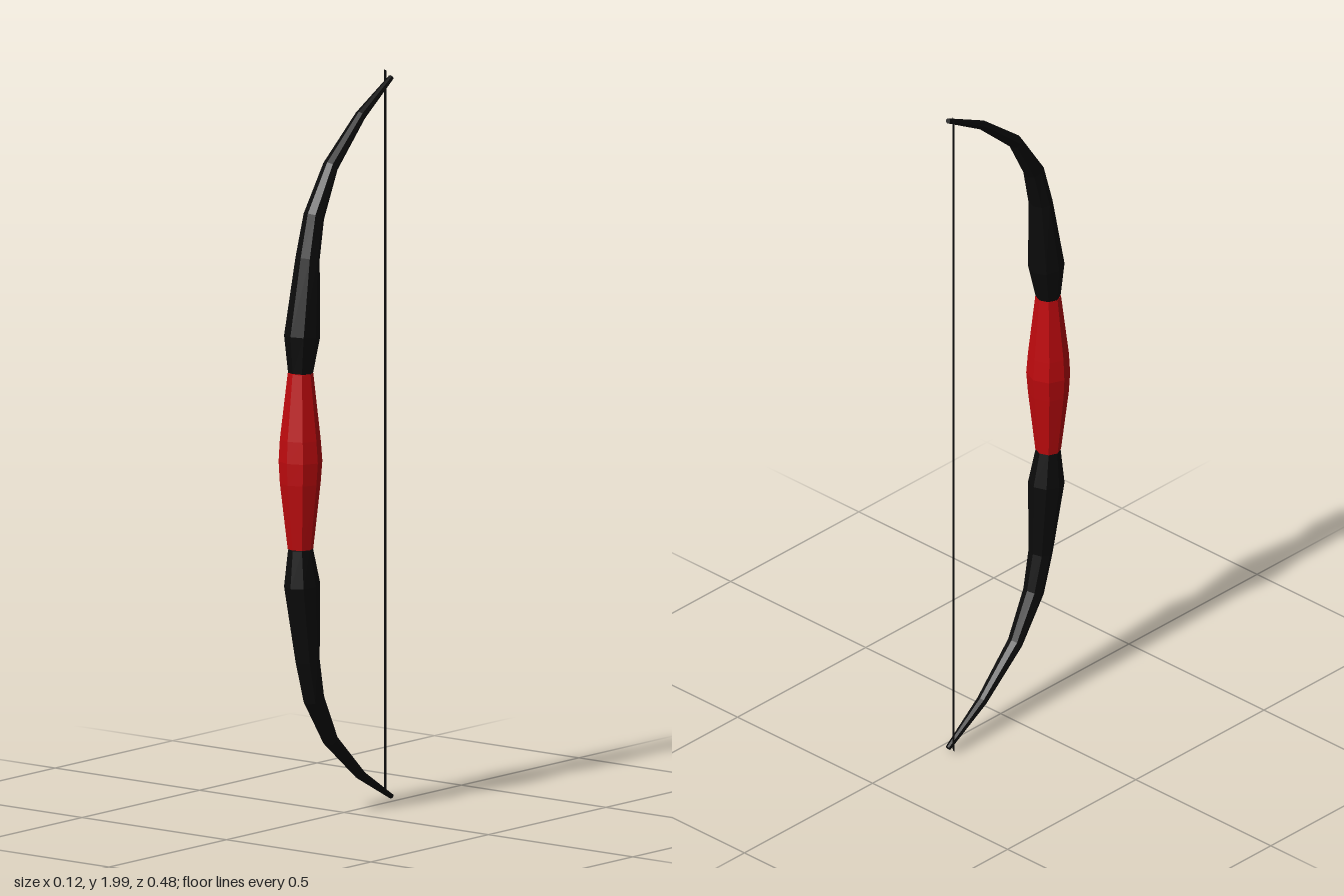
import * as THREE from 'three';

const black = new THREE.MeshStandardMaterial({ color: 0x0b0b0b, flatShading: true });
const red = new THREE.MeshStandardMaterial({ color: 0xc00a0e, flatShading: true });
const stringMaterial = new THREE.MeshStandardMaterial({ color: 0x0b0b0b, side: THREE.DoubleSide });

// Eight-sided loft along sections [x, y, z, half width, half depth], listed from bottom to top
function loft(sections, sides = 8) {
  const positions = [], index = [];
  const last = sections.length - 1;
  sections.forEach(([x, y, z, rx, rz], i) => {
    const a = sections[Math.max(i - 1, 0)], b = sections[Math.min(i + 1, last)];
    const length = Math.hypot(b[1] - a[1], b[2] - a[2]);
    const ty = (b[1] - a[1]) / length, tz = (b[2] - a[2]) / length;
    for (let k = 0; k < sides; k++) {
      const angle = (k / sides) * Math.PI * 2;
      const depth = rz * Math.cos(angle);
      positions.push(x + rx * Math.sin(angle), y - tz * depth, z + ty * depth);
    }
  });
  for (let i = 0; i < last; i++) {
    for (let k = 0; k < sides; k++) {
      const a = i * sides + k, b = i * sides + (k + 1) % sides;
      index.push(a, b, b + sides, a, b + sides, a + sides);
    }
  }
  // End caps
  const top = last * sides;
  for (let k = 1; k < sides - 1; k++) {
    index.push(0, k + 1, k, top, top + k, top + k + 1);
  }
  const geometry = new THREE.BufferGeometry();
  geometry.setAttribute('position', new THREE.Float32BufferAttribute(positions, 3));
  geometry.setIndex(index);
  geometry.computeVertexNormals();
  return geometry;
}

// Same sections turned upside down about the middle of the bow
const mirror = (sections) => sections.map(([x, y, ...rest]) => [x, 2 - y, ...rest]).reverse();

export function createModel() {
  const bow = new THREE.Group();
  bow.name = 'bow';
  const add = (name, geometry, material) => {
    const mesh = new THREE.Mesh(geometry, material);
    mesh.name = name;
    bow.add(mesh);
  };

  // Limbs: swell beside the grip, then taper and sweep back to the tips
  const limb = [
    [0, 1.24, 0.185, 0.034, 0.033],
    [0, 1.34, 0.178, 0.048, 0.05],
    [0.001, 1.55, 0.156, 0.035, 0.03],
    [-0.001, 1.66, 0.127, 0.029, 0.028],
    [-0.006, 1.785, 0.05, 0.023, 0.019],
    [-0.016, 1.902, -0.09, 0.016, 0.013],
    [-0.028, 1.983, -0.235, 0.008, 0.007],
  ];
  add('upperLimb', loft(limb), black);
  add('lowerLimb', loft(mirror(limb)), black);

  // Grip: faceted barrel
  const gripHalf = [
    [0, 1.06, 0.186, 0.056, 0.054],
    [0, 1.24, 0.185, 0.035, 0.034],
  ];
  add('grip', loft([...mirror(gripHalf), [0, 1, 0.185, 0.06, 0.058], ...gripHalf]), red);

  // String: thin, slightly bent ribbon
  const ribbon = new THREE.PlaneGeometry(1, 1.98, 2, 1);
  const p = ribbon.attributes.position;
  const bend = [[-0.057, -0.241], [-0.05, -0.238], [-0.039, -0.23]];
  for (let i = 0; i < p.count; i++) {
    const [x, z] = bend[i % 3];
    p.setXYZ(i, x, p.getY(i) + 1.01, z);
  }
  ribbon.computeVertexNormals();
  add('string', ribbon, stringMaterial);

  return bow;
}
